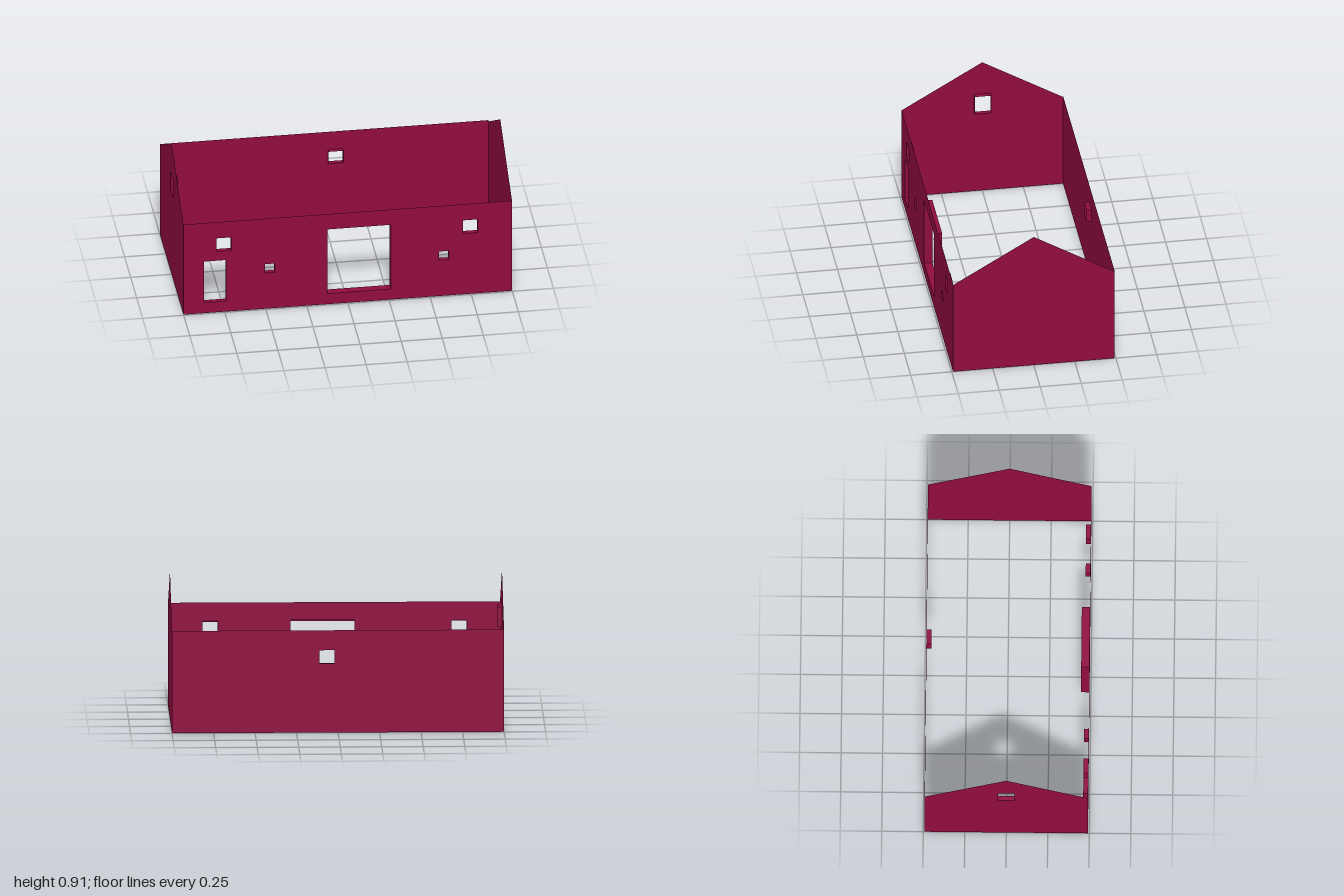
import * as THREE from 'three';

const HALF_X = 1, HALF_Z = 0.492, WALL_H = 0.625, EAVE_H = 0.616, PEAK_H = 0.91;

export function createModel() {
  const crimson = new THREE.MeshStandardMaterial({ color: 0x900c3f, side: THREE.DoubleSide });
  crimson.name = 'crimson';
  const house = new THREE.Group();
  house.name = 'houseShell';

  const add = (parent, name, geometry) => {
    const mesh = new THREE.Mesh(geometry, crimson);
    mesh.name = name;
    parent.add(mesh);
    return mesh;
  };

  // Four thin reveal faces running inward from the edge of an opening
  function addReveal(wall, { name, x0, x1, y0, y1, depth = 0.03 }) {
    const reveal = new THREE.Group();
    reveal.name = name + 'Reveal';
    for (const y of [y0, y1]) {
      const m = add(reveal, y === y0 ? 'sill' : 'head', new THREE.PlaneGeometry(x1 - x0, depth));
      m.rotation.x = y === y0 ? -Math.PI / 2 : Math.PI / 2;
      m.position.set((x0 + x1) / 2, y, -depth / 2);
    }
    for (const x of [x0, x1]) {
      const m = add(reveal, 'jamb', new THREE.PlaneGeometry(depth, y1 - y0));
      m.rotation.y = x === x0 ? Math.PI / 2 : -Math.PI / 2;
      m.position.set(x, (y0 + y1) / 2, -depth / 2);
    }
    wall.add(reveal);
  }

  // Flat wall sheet with openings; its local +z faces outdoors
  function addWall(name, outline, openings, x, z, turn) {
    const wall = new THREE.Group();
    wall.name = name;
    const shape = new THREE.Shape(outline.map(([u, v]) => new THREE.Vector2(u, v)));
    for (const o of openings) {
      shape.holes.push(new THREE.Path([
        new THREE.Vector2(o.x0, o.y0), new THREE.Vector2(o.x0, o.y1),
        new THREE.Vector2(o.x1, o.y1), new THREE.Vector2(o.x1, o.y0),
      ]));
      addReveal(wall, o);
    }
    add(wall, name + 'Sheet', new THREE.ShapeGeometry(shape));
    wall.position.set(x, 0, z);
    wall.rotation.y = turn;
    house.add(wall);
  }

  const longWall = [[-HALF_X, 0], [HALF_X, 0], [HALF_X, WALL_H], [-HALF_X, WALL_H]];
  const gable = [[-HALF_Z, 0], [HALF_Z, 0], [HALF_Z, EAVE_H], [0, PEAK_H], [-HALF_Z, EAVE_H]];

  // Front wall: door, wide gate and four windows
  addWall('frontWall', longWall, [
    { name: 'door', x0: -0.874, x1: -0.74, y0: 0.073, y1: 0.358 },
    { name: 'gate', x0: -0.123, x1: 0.262, y0: 0.073, y1: 0.519, depth: 0.05 },
    { name: 'rightUpperWindow', x0: -0.8, x1: -0.709, y0: 0.422, y1: 0.513 },
    { name: 'leftUpperWindow', x0: 0.7, x1: 0.791, y0: 0.422, y1: 0.513 },
    { name: 'rightSmallWindow', x0: -0.505, x1: -0.444, y0: 0.248, y1: 0.309 },
    { name: 'leftSmallWindow', x0: 0.554, x1: 0.615, y0: 0.248, y1: 0.309 },
  ], 0, HALF_Z, 0);

  // Back wall with one window
  addWall('backWall', longWall, [
    { name: 'backWindow', x0: -0.112, x1: -0.022, y0: 0.421, y1: 0.503 },
  ], 0, -HALF_Z, Math.PI);

  // Gable ends, one with a tall window
  addWall('rightGable', gable, [
    { name: 'gableWindow', x0: -0.05, x1: 0.05, y0: 0.563, y1: 0.686 },
  ], -HALF_X, 0, -Math.PI / 2);
  addWall('leftGable', gable, [], HALF_X, 0, Math.PI / 2);

  return house;
}
